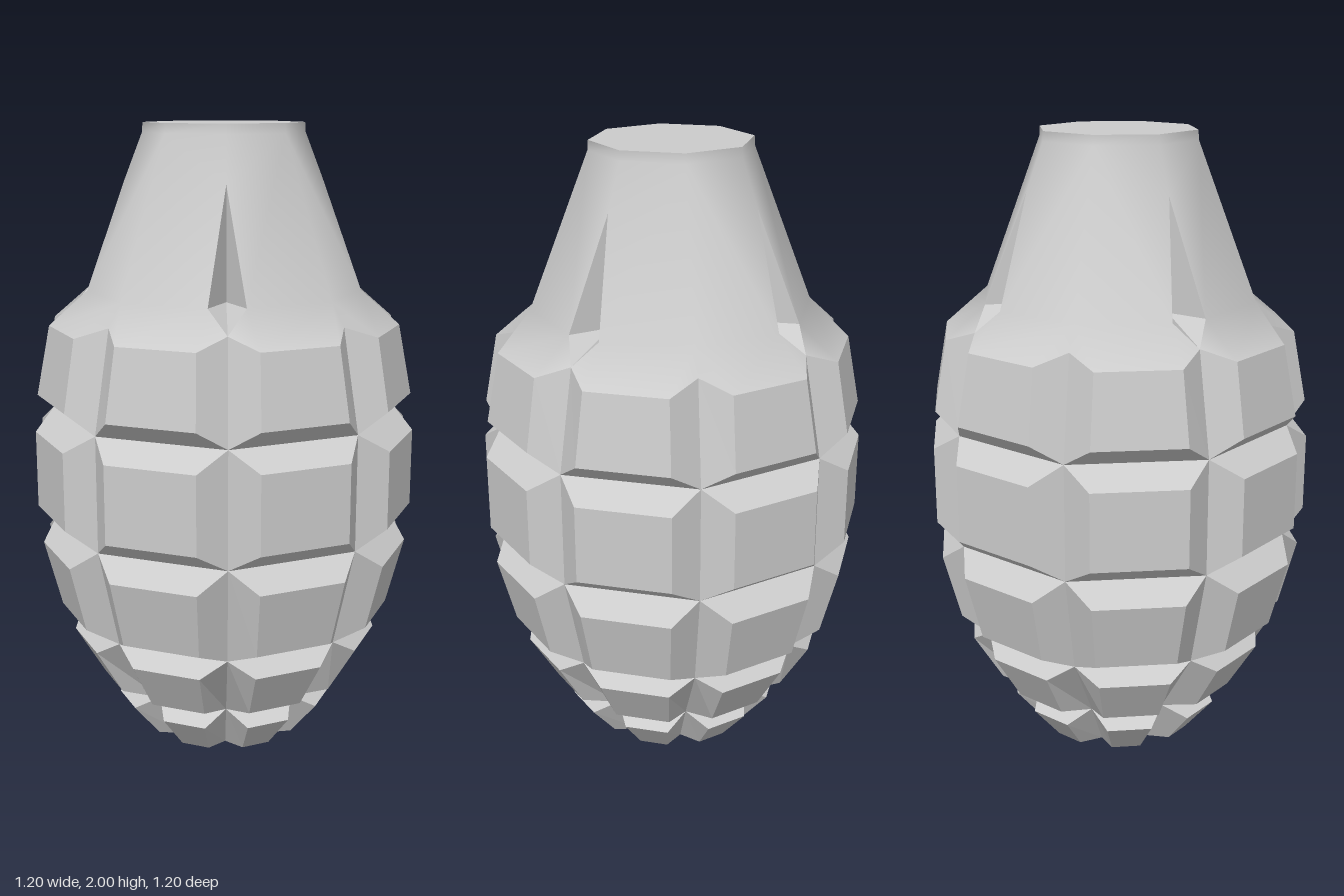
import * as THREE from 'three';
import { mergeVertices } from 'three/addons/utils/BufferGeometryUtils.js';

const S = Math.SQRT1_2;
// Mirror a point of the first octant across its middle (22.5 degrees)
const mirror = ([x, y, z]) => [(x + z) * S, y, (x - z) * S];

// Collects faces drawn in the first octant and turns them to their place
class Faces {
  constructor() { this.data = []; }
  add(turn, flip, ...pts) {
    const c = Math.cos(turn), s = Math.sin(turn);
    const p = pts.map(([x, y, z]) => {
      const w = flip ? -z : z;
      return [x * c - w * s, y, x * s + w * c];
    });
    if (flip) p.reverse();
    for (let i = 1; i < p.length - 1; i++) this.data.push(...p[0], ...p[i], ...p[i + 1]);
  }
  mesh(name, smooth) {
    let g = new THREE.BufferGeometry();
    g.setAttribute('position', new THREE.Float32BufferAttribute(this.data, 3));
    if (smooth) g = mergeVertices(g, 1e-4);
    g.computeVertexNormals();
    const m = new THREE.Mesh(g, new THREE.MeshStandardMaterial({ color: 0xcccccc, flatShading: !smooth }));
    m.name = name;
    return m;
  }
}

// Groove crossings: [radius, y], top to bottom
const core = [[0.488, 1.42], [0.55, 1.105], [0.55, 0.74], [0.472, 0.42], [0.3, 0.178], [0.19, 0.008]];
// Raised block corners per row: [x, y, z] at top and bottom
const rows = [
  [[0.547, 1.385, 0.09], [0.59, 1.165, 0.092]],
  [[0.6, 1.045, 0.092], [0.6, 0.8, 0.092]],
  [[0.587, 0.675, 0.092], [0.532, 0.46, 0.086]],
  [[0.493, 0.37, 0.085], [0.4, 0.212, 0.07]],
  [[0.35, 0.135, 0.068], [0.255, 0.018, 0.055]],
];

export function createModel() {
  const group = new THREE.Group();
  const last = rows.length - 1;

  // Five rows of eight bevelled blocks, separated by V grooves
  rows.forEach(([t, b], i) => {
    const f = new Faces();
    const ct = [core[i][0], core[i][1], 0], cb = [core[i + 1][0], core[i + 1][1], 0];
    const t2 = mirror(t), b2 = mirror(b), ct2 = mirror(ct), cb2 = mirror(cb);
    for (let k = 0; k < 8; k++) {
      const a = k * Math.PI / 4;
      f.add(a, false, b, t, t2, b2);
      f.add(a, false, cb, ct, t, b);
      f.add(a, false, b2, t2, ct2, cb2);
      if (i > 0) f.add(a, false, t, ct, ct2, t2);
      if (i < last) f.add(a, false, cb, b, b2, cb2);
    }
    group.add(f.mesh('blockRow' + (i + 1), false));
  });

  // Tapering shoulder, flat top, and four wedge notches on the axes
  const shoulder = new Faces(), cap = new Faces(), notch = new Faces(), base = new Faces();
  const T = [0.25, 2, 0], N = [0.252, 1.97, 0], A = [0.307, 1.83, 0];
  const K = [0.428, 1.49, 0.056], D = mirror([0.44, 1.49, 0]), I = [0.307, 1.49, 0];
  const G = [core[0][0], core[0][1], 0], C = rows[0][0];
  const Td = mirror(T), Nd = mirror(N), Gd = mirror(G), Cd = mirror(C);
  for (let q = 0; q < 4; q++) {
    const a = q * Math.PI / 2;
    for (const flip of [false, true]) {
      const put = (f, ...p) => f.add(a, flip, ...p);
      put(shoulder, T, Td, Nd, N);
      put(shoulder, N, Nd, A);
      put(shoulder, A, Nd, K);
      put(shoulder, Nd, D, K);
      put(shoulder, K, D, Cd, C);
      put(shoulder, D, Gd, Cd);
      put(shoulder, K, C, G);
      put(notch, A, K, I);
      put(notch, I, K, G);
      put(cap, [0, 2, 0], Td, T);
    }
  }

  // Rounded underside joining the lowest blocks
  const B = rows[last][1], Bd = mirror(B);
  const E = [core[last + 1][0], core[last + 1][1], 0], R = [0.15, 0, 0];
  const Ed = mirror(E), Rd = mirror(R);
  for (let k = 0; k < 8; k++) {
    const a = k * Math.PI / 4;
    base.add(a, false, R, B, Bd, Rd);
    base.add(a, false, R, E, B);
    base.add(a, false, Rd, Bd, Ed);
    base.add(a, false, [0, 0, 0], R, Rd);
  }

  group.add(shoulder.mesh('shoulder', true), cap.mesh('topCap', false),
    notch.mesh('shoulderNotches', false), base.mesh('underside', true));
  return group;
}
